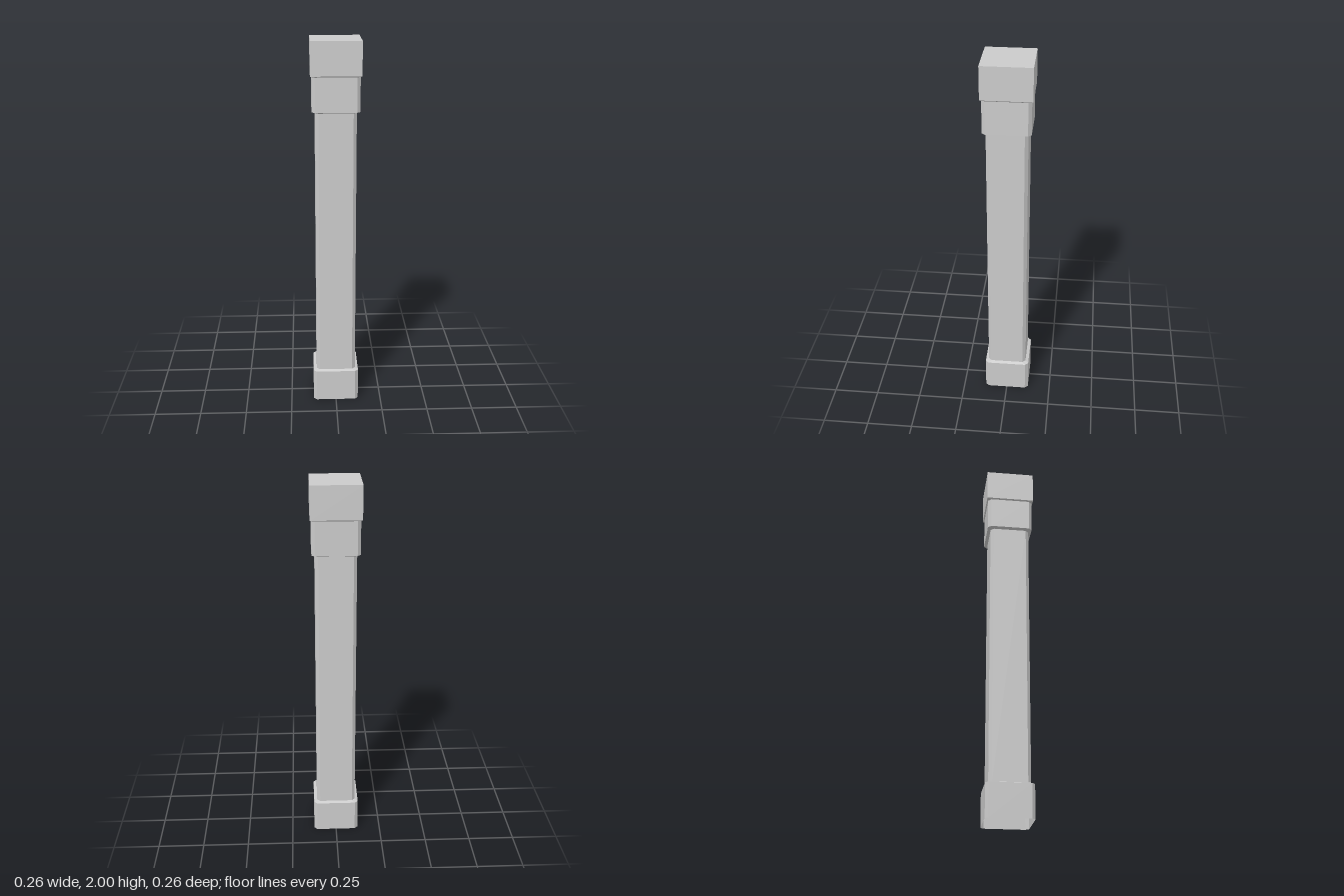
import * as THREE from 'three';

// Square outline with chamfered corners: h = half width, c = chamfer
function ring([y, h, c]) {
  const k = h - c;
  return [[k, h], [h, k], [h, -k], [k, -h], [-k, -h], [-h, -k], [-h, k], [-k, h]]
    .map(([x, z]) => new THREE.Vector3(x, y, z));
}

// Skin a stack of rings from bottom to top, optionally closing the top
function loft(name, levels, closeTop = false) {
  const rings = levels.map(ring);
  const pos = [];
  const tri = (a, b, c) => {
    if (new THREE.Triangle(a, b, c).getArea() > 1e-9) pos.push(...a, ...b, ...c);
  };
  for (let r = 0; r < rings.length - 1; r++) {
    const lo = rings[r], hi = rings[r + 1];
    for (let i = 0; i < 8; i++) {
      const j = (i + 1) % 8;
      tri(lo[i], lo[j], hi[j]);
      tri(lo[i], hi[j], hi[i]);
    }
  }
  if (closeTop) {
    const top = rings[rings.length - 1];
    for (let i = 1; i < 7; i++) tri(top[0], top[i], top[i + 1]);
  }
  const geometry = new THREE.BufferGeometry();
  geometry.setAttribute('position', new THREE.Float32BufferAttribute(pos, 3));
  geometry.computeVertexNormals();
  const mesh = new THREE.Mesh(geometry, new THREE.MeshStandardMaterial({
    color: 0xcccccc, flatShading: true, side: THREE.DoubleSide,
  }));
  mesh.name = name;
  return mesh;
}

export function createModel() {
  const group = new THREE.Group();
  group.name = 'column';

  // Each level is [height, half width, corner chamfer]
  const shaftLow = [0.182, 0.107, 0.017], shaftHigh = [1.635, 0.107, 0.017];
  const neck = [1.82, 0.124, 0.017];

  group.add(
    // Hollow foot, open underneath, with a sloped ledge up to the shaft
    loft('base', [[0, 0.124, 0.017], [0.176, 0.124, 0.017], shaftLow]),
    loft('shaft', [shaftLow, shaftHigh]),
    // Collar with a sloped underside
    loft('collar', [shaftHigh, [1.642, 0.124, 0.017], neck]),
    // Square-cornered top block
    loft('cap', [neck, [1.826, 0.131, 0], [2, 0.131, 0]], true),
  );
  return group;
}
